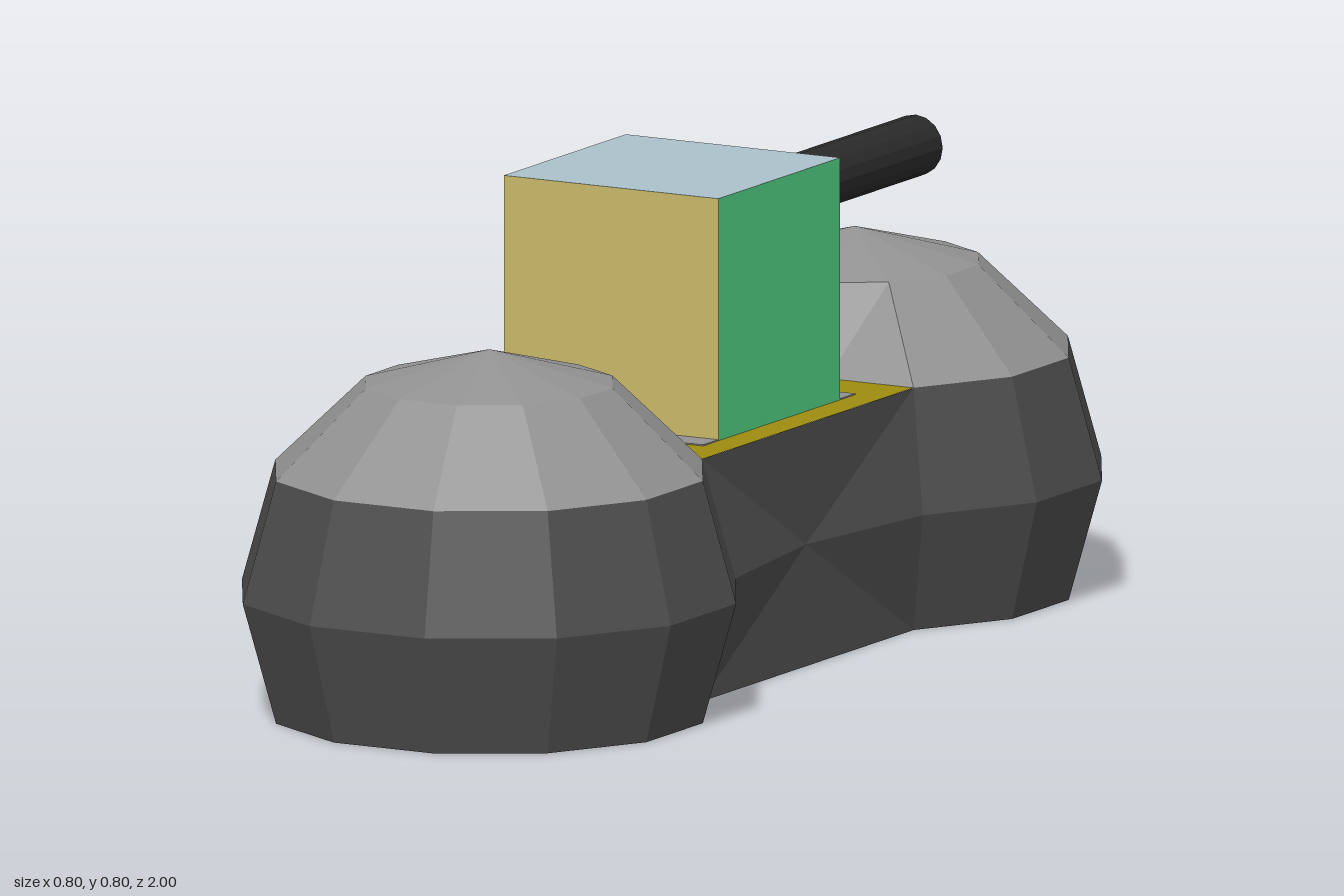
import * as THREE from 'three';

const mat = (name, color, flat = true) => {
  const m = new THREE.MeshStandardMaterial({ color, flatShading: flat });
  m.name = name;
  return m;
};

// Point k of a 12-sided ring; side s = 1 is the front pod, s = -1 the rear pod
function ringPoint(apothem, y, k, s) {
  const r = apothem / Math.cos(Math.PI / 12);
  const a = (-135 + 30 * k) * Math.PI / 180;
  return [s * r * Math.sin(a), y, s * (0.6 + r * Math.cos(a))];
}

function facesGeometry(faces) {
  const pos = [];
  for (const f of faces) {
    for (let i = 1; i < f.length - 1; i++) pos.push(...f[0], ...f[i], ...f[i + 1]);
  }
  const g = new THREE.BufferGeometry();
  g.setAttribute('position', new THREE.Float32BufferAttribute(pos, 3));
  g.computeVertexNormals();
  return g;
}

export function createModel() {
  const group = new THREE.Group();
  const dark = mat('dark grey', 0x4d4d4d);
  const grey = mat('light grey', 0x929292);
  const gold = mat('gold', 0x9e8c10);
  const yellow = mat('pale yellow', 0xc8b868);
  const green = mat('green', 0x50cc80);
  const blue = mat('blue', 0x57a3cd);
  const red = mat('dusty red', 0xca7979);
  const pale = mat('pale blue', 0xabc1cb);
  const black = mat('barrel black', 0x2a2a2a);

  const add = (name, geometry, material, x = 0, y = 0, z = 0) => {
    const m = new THREE.Mesh(geometry, material);
    m.name = name;
    m.position.set(x, y, z);
    group.add(m);
    return m;
  };

  // Lower hull: two bulging pods joined by a narrow waist
  const levels = [[0.346, 0], [0.4, 0.2], [0.346, 0.4]];
  const P = (l, k, s) => ringPoint(levels[l][0], levels[l][1], k, s);
  const hull = [];
  for (const s of [1, -1]) {
    for (let l = 0; l < 2; l++) {
      for (let k = 0; k < 9; k++) {
        hull.push([P(l, k, s), P(l, k + 1, s), P(l + 1, k + 1, s), P(l + 1, k, s)]);
      }
    }
    // waist side, fanned from a point in its middle
    const mid = [s * 0.25, 0.2, 0];
    const rim = [P(0, 9, s), P(0, 0, -s), P(1, 0, -s), P(2, 0, -s), P(2, 9, s), P(1, 9, s)];
    rim.forEach((p, i) => hull.push([mid, p, rim[(i + 1) % 6]]));
    // underside of the pod
    const under = [];
    for (let k = 9; k >= 0; k--) under.push(P(0, k, s));
    hull.push(under);
  }
  hull.push([P(0, 0, 1), P(0, 0, -1).map((v) => v), P(0, 9, 1)].map((p) => p));
  hull.push([P(0, 0, 1), P(0, 9, -1), P(0, 0, -1)]);
  add('lowerHull', facesGeometry(hull), dark);

  // Domed pod roofs, cut back on the inner side to meet the deck
  for (const s of [1, -1]) {
    const roof = [];
    const base = (k) => {
      const p = ringPoint(0.346, 0.4, k, s);
      if (k % 12 >= 10) p[2] = s * 0.347;
      return p;
    };
    const top = (k) => ringPoint(0.2, 0.546, k, s);
    for (let k = 0; k < 12; k++) {
      const n = (k + 1) % 12;
      roof.push([base(k), base(n), top(n), top(k)]);
      roof.push([top(k), top(n), [0, 0.6, s * 0.6]]);
    }
    add(s > 0 ? 'frontDome' : 'rearDome', facesGeometry(roof), grey);
  }

  // Deck with an inlaid plate
  const deck = new THREE.PlaneGeometry(0.506, 0.694).rotateX(-Math.PI / 2);
  add('deck', deck, gold, 0, 0.4, 0);
  add('deckPlate', new THREE.BoxGeometry(0.4, 0.004, 0.5), grey, 0, 0.4, 0);

  // Turret block, one colour per side
  add('turret', new THREE.BoxGeometry(0.4, 0.4, 0.4),
    [green, red, pale, grey, yellow, blue], 0, 0.6, 0);

  // Hollow barrel pointing to the rear
  const profile = [[0.05, 0], [0.05, 0.6], [0.036, 0.6], [0.036, 0.3], [0, 0.3]]
    .map(([x, y]) => new THREE.Vector2(x, y));
  const barrel = new THREE.LatheGeometry(profile, 16).rotateX(-Math.PI / 2);
  add('barrel', barrel, black, 0, 0.7, -0.2);

  return group;
}
